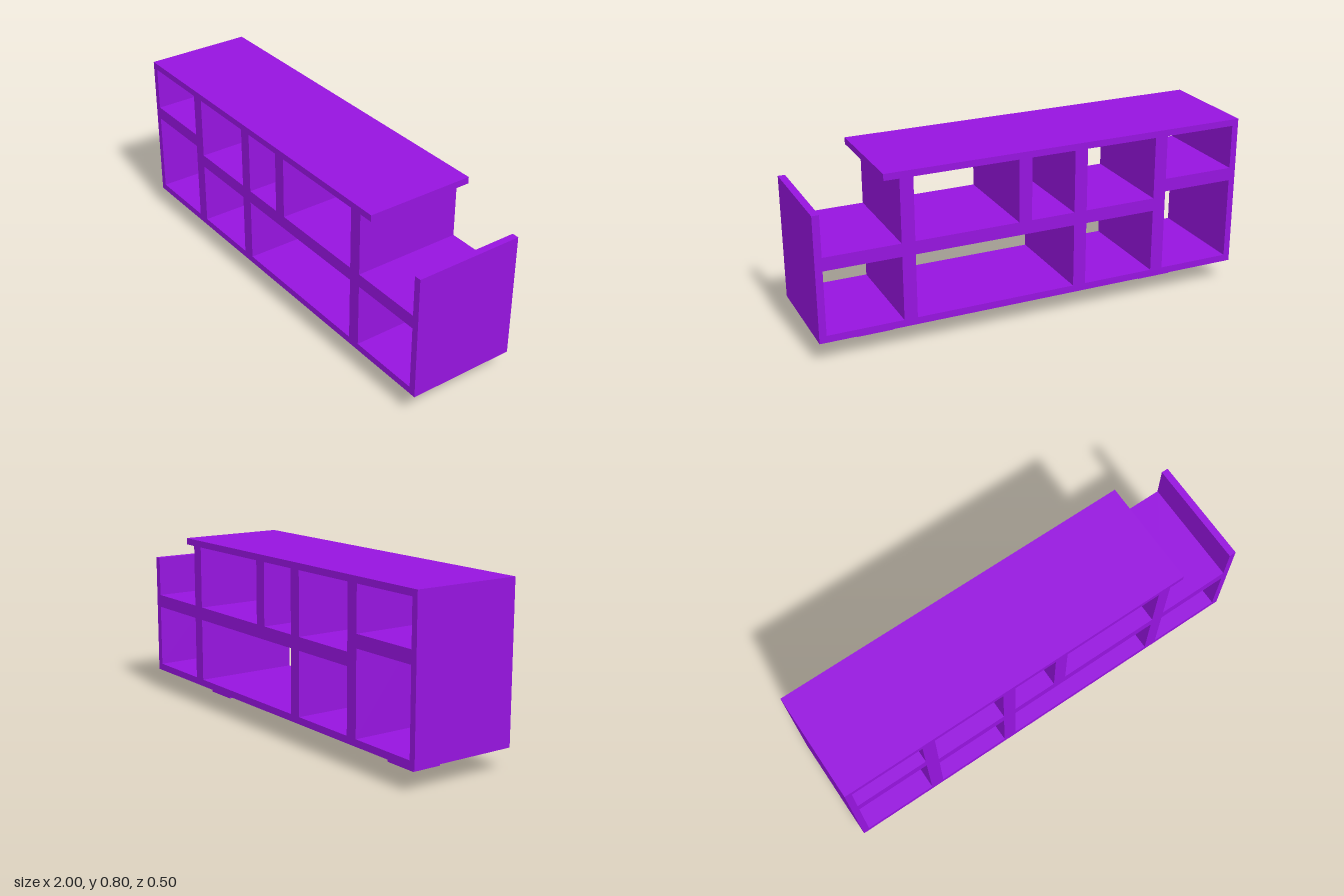
import * as THREE from 'three';

const DEPTH = 0.5;

export function createModel() {
  const group = new THREE.Group();
  const material = new THREE.MeshStandardMaterial({ color: 0x9614de });
  const footMaterial = new THREE.MeshStandardMaterial({
    color: 0x9614de, flatShading: true, side: THREE.DoubleSide,
  });

  // A full-depth board given by its extents in x and y
  function board(name, x0, x1, y0, y1) {
    const mesh = new THREE.Mesh(new THREE.BoxGeometry(x1 - x0, y1 - y0, DEPTH), material);
    mesh.position.set((x0 + x1) / 2, (y0 + y1) / 2, 0);
    mesh.name = name;
    group.add(mesh);
  }

  // Outer case: the top stops short of the lower right end
  board('bottomBoard', -1, 1, 0.1, 0.132);
  board('topBoard', -1, 0.695, 0.77, 0.8);
  board('rightEndPanel', -1, -0.97, 0.132, 0.77);
  board('leftEndPanel', 0.968, 1, 0.132, 0.67);

  // Full-height dividers
  for (const x of [-0.601, -0.203, 0.597]) {
    board('divider', x - 0.03, x + 0.03, 0.132, 0.77);
  }

  // Shelves between the dividers
  board('highShelf', -0.97, -0.631, 0.508, 0.568);
  for (const [x0, x1] of [[-0.571, -0.233], [-0.173, 0.567], [0.627, 0.968]]) {
    board('shelf', x0, x1, 0.424, 0.484);
  }

  // Short divider in the upper row
  board('upperDivider', 0.032, 0.092, 0.484, 0.77);

  // Hollow rectangular feet, open underneath
  const footGeometry = new THREE.CylinderGeometry(Math.SQRT1_2, Math.SQRT1_2, 1, 4, 1, true);
  footGeometry.rotateY(Math.PI / 4).scale(0.167, 0.1, 0.143);
  for (const side of [-1, 1]) {
    const foot = new THREE.Mesh(footGeometry, footMaterial);
    foot.position.set(side * 0.7, 0.05, 0);
    foot.name = side < 0 ? 'rightFoot' : 'leftFoot';
    group.add(foot);
  }
  return group;
}
